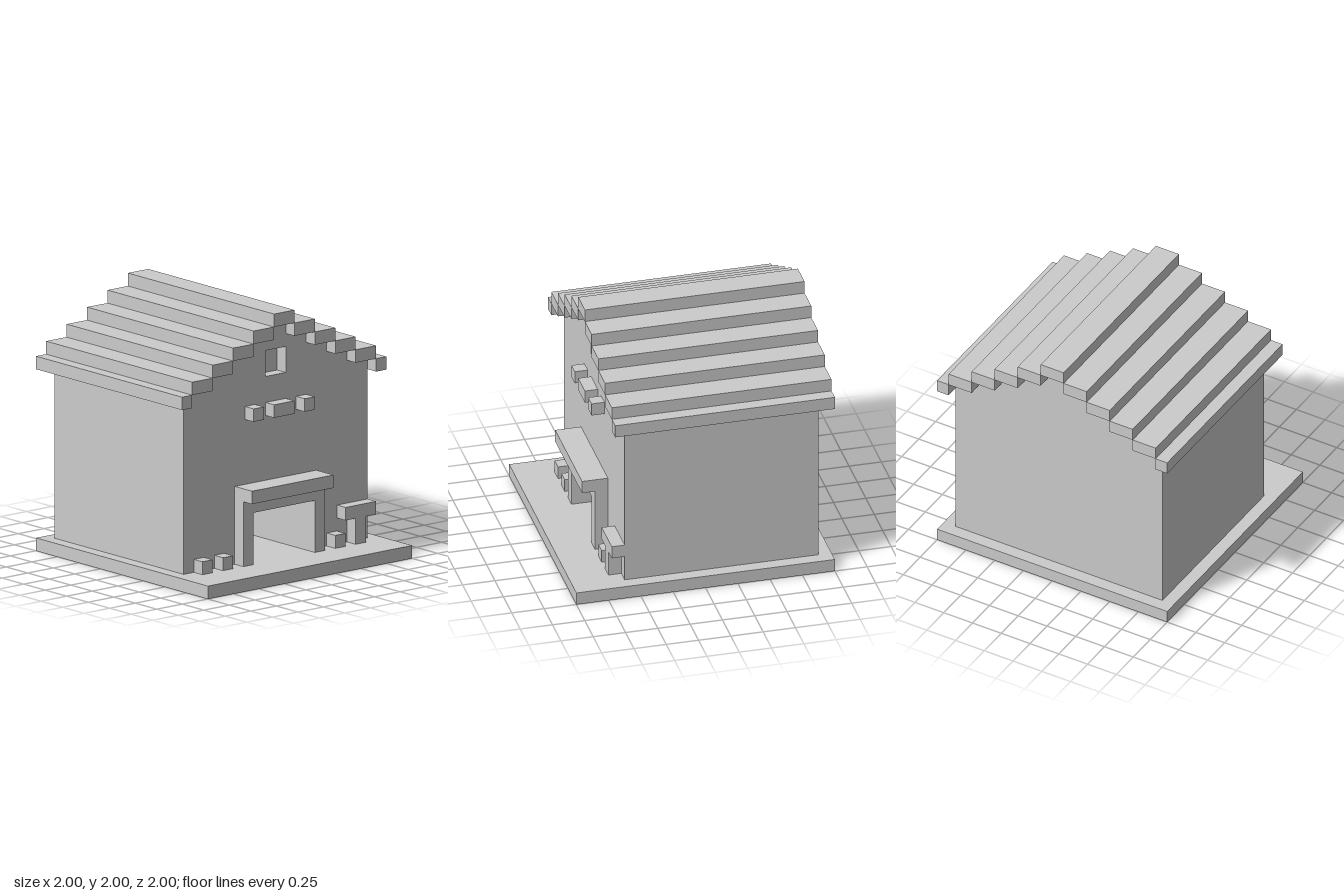
import * as THREE from 'three';

const material = new THREE.MeshStandardMaterial({ color: 0xcccccc, flatShading: true });

export function createModel() {
  const house = new THREE.Group();
  house.name = 'house';

  // Box given by its low and high limits on each axis
  function box(name, [x0, x1], [y0, y1], [z0, z1]) {
    const mesh = new THREE.Mesh(new THREE.BoxGeometry(x1 - x0, y1 - y0, z1 - z0), material);
    mesh.position.set((x0 + x1) / 2, (y0 + y1) / 2, (z0 + z1) / 2);
    mesh.name = name;
    house.add(mesh);
  }

  // Slice of the stepped-gable body, optionally cut by the doorway and window
  function bodySlice(name, z0, z1, door, window) {
    const half = [[0.9, 0.1], [0.9, 1.5]];
    for (let i = 0; i < 4; i++) {
      const x = 0.7 - i * 0.2, y = 1.5 + i * 0.1;
      half.push([x, y], [x, y + 0.1]);
    }
    const outline = [...half, ...half.map(([x, y]) => [-x, y]).reverse()];
    if (door) outline.push([-0.3, 0.1], [-0.3, 0.5], [0.3, 0.5], [0.3, 0.1]);
    const toPoints = (list) => list.map(([x, y]) => new THREE.Vector2(x, y));
    const shape = new THREE.Shape(toPoints(outline));
    if (window) {
      shape.holes.push(new THREE.Path(toPoints([[-0.1, 1.5], [-0.1, 1.7], [0.1, 1.7], [0.1, 1.5]])));
    }
    const geometry = new THREE.ExtrudeGeometry(shape, { depth: z1 - z0, bevelEnabled: false });
    const mesh = new THREE.Mesh(geometry, material);
    mesh.position.z = z0;
    mesh.name = name;
    house.add(mesh);
  }

  box('base', [-1, 1], [0, 0.1], [-1, 1]);

  // Body: front wall with window recess, deep doorway, closed back
  bodySlice('frontWall', 0.5, 0.6, true, true);
  bodySlice('walls', -0.8, 0.5, true, false);
  bodySlice('backWall', -0.9, -0.8, false, false);

  // Stepped roof: ridge and mirrored courses down to the eaves
  const roofZ = [-1, 0.7];
  box('roofRidge', [-0.1, 0.1], [1.9, 2], roofZ);
  for (let i = 0; i < 5; i++) {
    const x0 = 0.1 + i * 0.2, x1 = Math.min(x0 + 0.2, 1);
    const y = [1.8 - i * 0.1, 1.9 - i * 0.1];
    box('roofStepLeft', [x0, x1], y, roofZ);
    box('roofStepRight', [-x1, -x0], y, roofZ);
  }

  // Door frame and canopy
  const trimZ = [0.6, 0.7];
  box('doorPostLeft', [0.3, 0.4], [0.1, 0.6], trimZ);
  box('doorPostRight', [-0.4, -0.3], [0.1, 0.6], trimZ);
  box('doorLintel', [-0.3, 0.3], [0.5, 0.6], trimZ);
  box('doorCanopy', [-0.4, 0.4], [0.6, 0.7], [0.6, 0.8]);

  // Small blocks on the facade and on the ground
  for (const x of [[-0.3, -0.2], [-0.1, 0.1], [0.2, 0.3]]) box('facadeBlock', x, [1.2, 1.3], trimZ);
  for (const x of [-0.8, -0.6, 0.5]) box('groundBlock', [x, x + 0.1], [0.1, 0.2], trimZ);

  // Table beside the door
  box('tableTop', [0.6, 0.9], [0.3, 0.4], trimZ);
  box('tableLeg', [0.7, 0.8], [0.1, 0.3], trimZ);

  return house;
}
